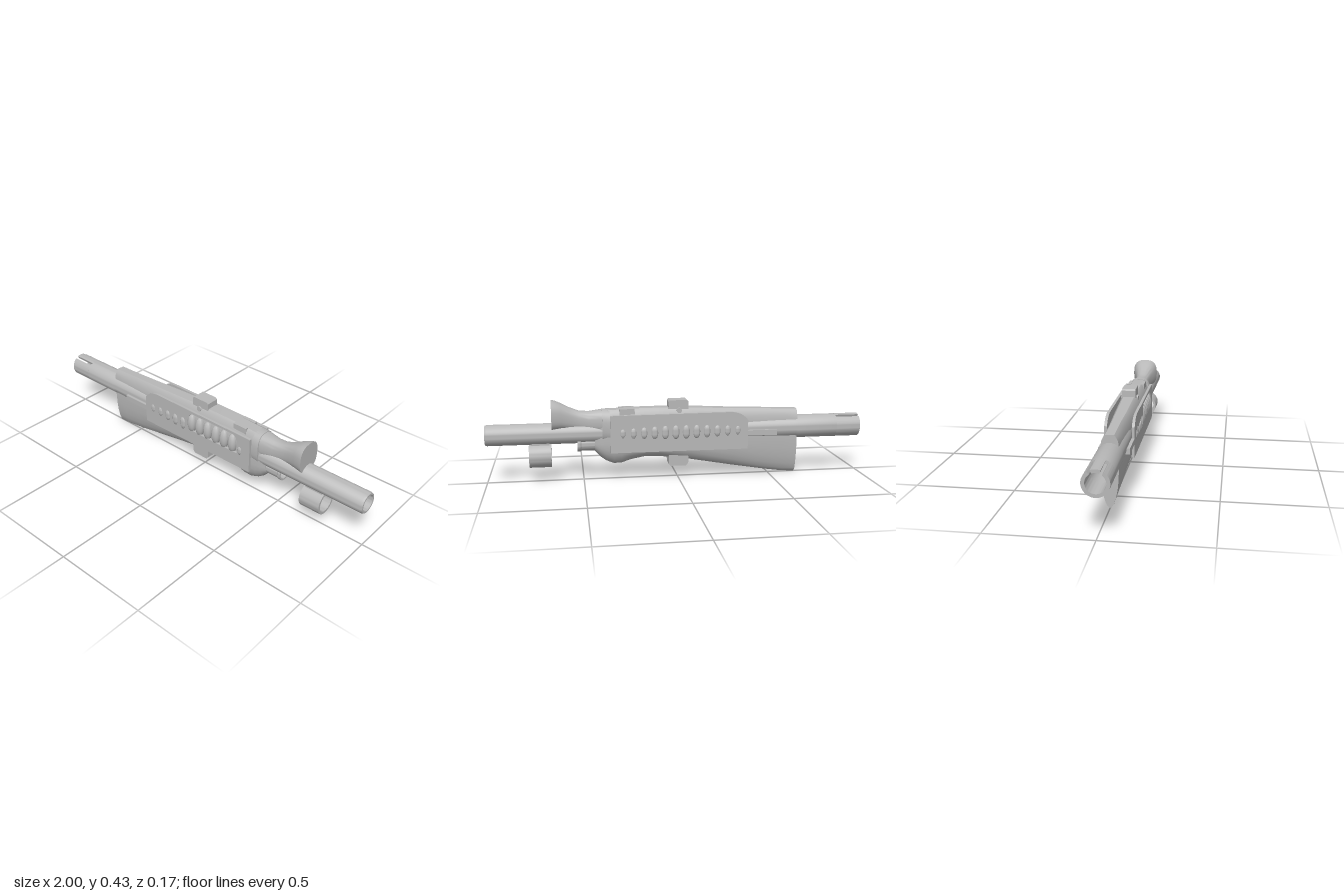
import * as THREE from 'three';
import { toCreasedNormals } from 'three/addons/utils/BufferGeometryUtils.js';

export function createModel() {
  const model = new THREE.Group();
  model.name = 'longGunParts';
  const grey = new THREE.MeshStandardMaterial({ color: 0xb8b8b8, side: THREE.DoubleSide });
  grey.name = 'plainGrey';

  const add = (name, geo, x = 0, y = 0, z = 0) => {
    const mesh = new THREE.Mesh(toCreasedNormals(geo, 0.6), grey);
    mesh.name = name;
    mesh.position.set(x, y, z);
    model.add(mesh);
    return mesh;
  };
  const box = (name, x0, x1, y0, y1, z0, z1) =>
    add(name, new THREE.BoxGeometry(x1 - x0, y1 - y0, z1 - z0), (x0 + x1) / 2, (y0 + y1) / 2, (z0 + z1) / 2);

  // Turned part along x; points are [radius, x]
  const turned = (name, pts, y) => {
    const closed = [...pts, pts[0]].map(([r, x]) => new THREE.Vector2(r, x));
    return add(name, new THREE.LatheGeometry(closed, 40).rotateZ(-Math.PI / 2), 0, y);
  };

  // Skin through rings of [z, y] points placed along x, with flat ends
  const loft = (name, rings) => {
    const n = rings[0].pts.length, pos = [], idx = [];
    rings.forEach(({ x, pts }) => pts.forEach(([z, y]) => pos.push(x, y, z)));
    for (let i = 0; i < rings.length - 1; i++)
      for (let j = 0; j < n; j++) {
        const a = i * n + j, b = i * n + (j + 1) % n;
        idx.push(a, a + n, b, b, a + n, b + n);
      }
    [0, rings.length - 1].forEach((r, end) => {
      const c = pos.length / 3, ys = rings[r].pts.map(p => p[1]);
      pos.push(rings[r].x, (Math.min(...ys) + Math.max(...ys)) / 2, 0);
      for (let j = 0; j < n; j++) {
        const a = r * n + j, b = r * n + (j + 1) % n;
        idx.push(c, end ? b : a, end ? a : b);
      }
    });
    const geo = new THREE.BufferGeometry();
    geo.setAttribute('position', new THREE.Float32BufferAttribute(pos, 3));
    geo.setIndex(idx);
    return add(name, geo);
  };

  // Barrel
  const axis = 0.255;
  turned('barrel', [[0.0625, -0.87], [0.0625, -0.65], [0.06, -0.64], [0.06, -0.36], [0.055, -0.34],
    [0.055, 0.99], [0.051, 1], [0.042, 1], [0.042, 0.97], [0.04, -0.6], [0.046, -0.87]], axis);

  // Slotted barrel end: a narrow top finger and the remaining ring
  const deg = Math.PI / 180;
  [['muzzleFinger', 69, 111], ['muzzleRing', 126, 414]].forEach(([name, a, b]) => {
    const s = new THREE.Shape();
    s.absarc(0, 0, 0.0625, a * deg, b * deg, false);
    s.absarc(0, 0, 0.046, b * deg, a * deg, true);
    const geo = new THREE.ExtrudeGeometry(s, { depth: 0.132, bevelEnabled: false, curveSegments: 32 });
    add(name, geo.rotateY(Math.PI / 2), -1, axis);
  });

  // Stock and body: keel-shaped below, narrow flat ridge on top
  const stockRing = ([x, bottom, top, w, ridge]) => {
    const half = [[0.03, 0.2], [0.1, 0.42], [0.25, 0.65], [0.45, 0.84], [0.7, 0.96], [1, 1]]
      .map(([t, f]) => [w * f, bottom + (0.2 - bottom) * t]);
    half.push([w, 0.29], [(w + ridge) / 2 + 0.003, 0.325], [ridge, top - 0.012], [ridge * 0.7, top]);
    return { x, pts: [[0, bottom], ...half, ...half.slice().reverse().map(([z, y]) => [-z, y])] };
  };
  loft('stockBody', [
    [-0.65, 0.002, 0.355, 0.042, 0.03], [-0.58, 0.006, 0.357, 0.042, 0.03],
    [-0.48, 0.02, 0.361, 0.044, 0.03], [-0.3, 0.05, 0.367, 0.048, 0.036],
    [-0.06, 0.093, 0.379, 0.058, 0.04], [0.1, 0.114, 0.382, 0.06, 0.04],
    [0.18, 0.115, 0.382, 0.06, 0.04], [0.25, 0.102, 0.38, 0.06, 0.04],
    [0.3, 0.085, 0.378, 0.058, 0.04], [0.34, 0.084, 0.376, 0.056, 0.04],
    [0.38, 0.1, 0.375, 0.055, 0.04], [0.41, 0.122, 0.37, 0.05, 0.036],
    [0.44, 0.155, 0.33, 0.042, 0.03],
  ].map(stockRing));

  // Flared upper neck ending in a flat pad
  const flareRing = ([x, bottom, top, w]) => ({
    x,
    pts: Array.from({ length: 32 }, (_, i) => {
      const a = (i / 32) * Math.PI * 2 - Math.PI / 2, c = Math.cos(a), s = Math.sin(a);
      const p = v => Math.sign(v) * Math.abs(v) ** 0.75;
      return [w * p(c), (top + bottom) / 2 + ((top - bottom) / 2) * p(s)];
    }),
  });
  loft('flaredNeck', [
    [0.36, 0.25, 0.375, 0.055], [0.41, 0.25, 0.376, 0.053], [0.47, 0.26, 0.368, 0.042],
    [0.52, 0.27, 0.372, 0.038], [0.57, 0.275, 0.392, 0.045], [0.61, 0.278, 0.413, 0.058],
    [0.64, 0.275, 0.426, 0.066], [0.66, 0.272, 0.431, 0.07],
  ].map(flareRing));
  loft('neckCollar', [[0.36, 0.2, 0.379, 0.062], [0.4, 0.2, 0.379, 0.062]].map(flareRing));

  // Side plates; the front one has a window
  const plateShape = () => {
    const s = new THREE.Shape();
    s.moveTo(-0.37, 0.155);
    s.lineTo(0.36, 0.155);
    s.lineTo(0.36, 0.352);
    s.lineTo(-0.28, 0.356);
    s.quadraticCurveTo(-0.34, 0.352, -0.37, 0.31);
    s.closePath();
    return s;
  };
  const windowHole = new THREE.Path();
  windowHole.moveTo(-0.05, 0.235);
  windowHole.lineTo(-0.05, 0.31);
  windowHole.quadraticCurveTo(-0.045, 0.34, -0.01, 0.34);
  windowHole.lineTo(0.25, 0.34);
  windowHole.quadraticCurveTo(0.275, 0.335, 0.28, 0.3);
  windowHole.lineTo(0.28, 0.235);
  windowHole.closePath();
  [1, -1].forEach(side => {
    const s = plateShape();
    if (side > 0) s.holes.push(windowHole);
    const geo = new THREE.ExtrudeGeometry(s, { depth: 0.014, bevelEnabled: false });
    add(side > 0 ? 'frontPlate' : 'backPlate', geo, 0, 0, side > 0 ? 0.061 : -0.075);

    // Rounded pods along the plate, tall where the window exposes them
    for (let i = 0; i < 12; i++) {
      const open = side > 0 && i >= 5 && i <= 10;
      const mid = Math.sin(((i + 1) / 13) * Math.PI);
      const geo2 = new THREE.SphereGeometry(1, 18, 12)
        .scale(open ? 0.026 : 0.012 + 0.008 * mid, open ? 0.055 : 0.02 + 0.017 * mid, open ? 0.026 : 0.006 + 0.006 * mid);
      add('pod', geo2, -0.315 + i * 0.0555, open ? 0.275 : 0.257, side * (open ? 0.06 : 0.073));
    }

    // Plate spacers, rear side bars and upper cheek plates
    box('plateSpacer', -0.3, 0.34, 0.165, 0.2, side * 0.058 - 0.006, side * 0.058 + 0.006);
    box('sideBar', -0.53, -0.36, 0.225, 0.254, side * 0.064 - 0.011, side * 0.064 + 0.011);
    box('cheekPlate', 0.23, 0.31, 0.34, 0.381, side * 0.036 - 0.009, side * 0.036 + 0.009);
  });

  // Middle clamp: top saddle with a notch, tapered bottom block
  const prism = (name, pts, w) => {
    const s = new THREE.Shape(pts.map(([x, y]) => new THREE.Vector2(x, y)));
    add(name, new THREE.ExtrudeGeometry(s, { depth: w * 2, bevelEnabled: false }), 0, 0, -w);
  };
  prism('clampTop', [[-0.055, 0.36], [-0.025, 0.36], [-0.018, 0.373], [0.008, 0.373], [0.015, 0.36],
    [0.05, 0.36], [0.05, 0.412], [0.042, 0.42], [-0.047, 0.42], [-0.055, 0.412]], 0.036);
  prism('clampBottom', [[-0.055, 0.15], [-0.055, 0.082], [-0.045, 0.065], [0.04, 0.065], [0.05, 0.075], [0.05, 0.15]], 0.035);
  add('clampPin', new THREE.CylinderGeometry(0.014, 0.014, 0.09, 20).rotateX(Math.PI / 2), -0.005, 0.366);

  // Short open tube under the barrel
  turned('lowerTube', [[0.045, 0.34], [0.045, 0.4], [0.039, 0.405], [0.039, 0.51], [0.043, 0.515],
    [0.043, 0.53], [0.034, 0.53], [0.034, 0.34]], 0.197);

  // Hanging ring and its bridge
  turned('hangingRing', [[0.064, 0.665], [0.064, 0.78], [0.051, 0.78], [0.051, 0.665]], 0.141);
  box('ringBridge', 0.675, 0.77, 0.193, 0.215, -0.028, 0.028);

  return model;
}
